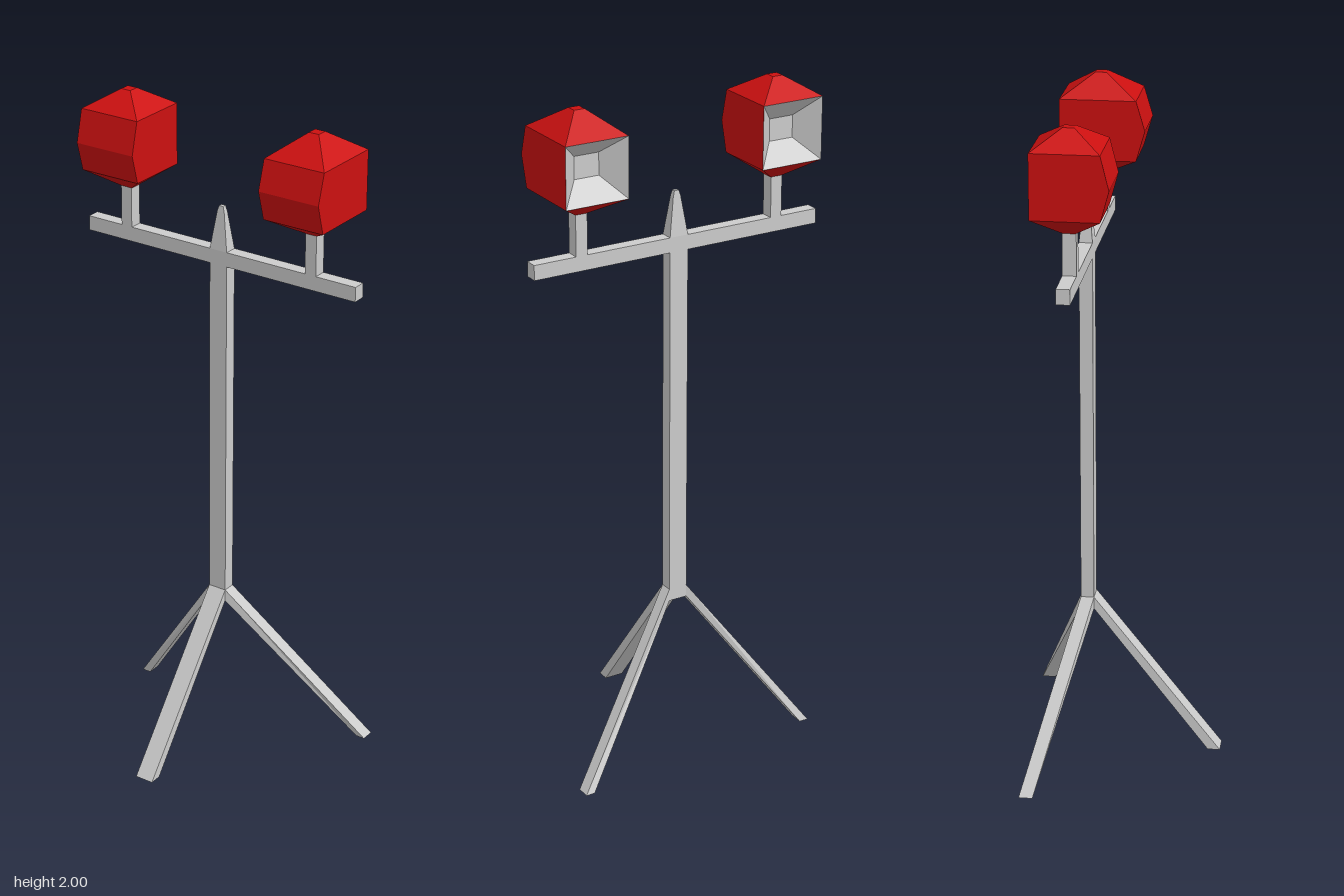
import * as THREE from 'three';

const grey = new THREE.MeshStandardMaterial({ color: 0xcccccc, flatShading: true });
const red = new THREE.MeshStandardMaterial({ color: 0xcc1010, flatShading: true });

// Corner rings, counter-clockwise seen from the + end of their axis
const ringY = (y, x0, x1, z0, z1) => [[x0, y, z0], [x0, y, z1], [x1, y, z1], [x1, y, z0]];
const ringX = (x, y0, y1, z0, z1) => [[x, y0, z0], [x, y1, z0], [x, y1, z1], [x, y0, z1]];

// Flat-sided skin through four-cornered rings, with optional end caps
function loft(name, rings, material = grey, startCap = true, endCap = true) {
  const p = [];
  const quad = (a, b, c, d) => p.push(...a, ...b, ...c, ...a, ...c, ...d);
  for (let r = 0; r + 1 < rings.length; r++) {
    for (let i = 0; i < 4; i++) {
      const j = (i + 1) % 4;
      quad(rings[r][i], rings[r][j], rings[r + 1][j], rings[r + 1][i]);
    }
  }
  if (startCap) quad(...[...rings[0]].reverse());
  if (endCap) quad(...rings[rings.length - 1]);
  const geometry = new THREE.BufferGeometry();
  geometry.setAttribute('position', new THREE.Float32BufferAttribute(p, 3));
  geometry.computeVertexNormals();
  const mesh = new THREE.Mesh(geometry, material);
  mesh.name = name;
  return mesh;
}

const PX0 = 0.077, PX1 = 0.116, PZ = 0.029; // pole footprint
const MID = (PX0 + PX1) / 2;

// Lamp head: red hood with peaked top and bottom, ridged back, funnel opening on +x
function lampHead(name, { x0, x1, ridge, y0, y1, z0, z1, top }) {
  const g = new THREE.Group();
  g.name = name;
  const zc = (z0 + z1) / 2, yc = 1.85, s = 0.016;
  g.add(
    loft('hood', [
      ringX(ridge, yc, yc, z0, z1),
      ringX(x0, y0, y1, z0, z1),
      ringX(x1, y0, y1, z0, z1),
    ], red, false, false),
    loft('hoodRoof', [
      ringY(y1, x0, x1, z0, z1),
      ringY(top, MID - s, MID + s, zc - s, zc + s),
    ], red, false),
    loft('hoodBase', [
      ringY(1.705, MID - s, MID + s, zc - s, zc + s),
      ringY(y0, x0, x1, z0, z1),
    ], red, true, false),
    loft('lampRecess', [
      ringX(x1, y0, y1, z0, z1),
      ringX(x1 - 0.06, 1.82, 1.885, zc - 0.038, zc + 0.038),
    ], grey, false),
    loft('lampPost', [
      ringY(1.58, PX0, PX1, zc - 0.018, zc + 0.018),
      ringY(1.715, PX0, PX1, zc - 0.018, zc + 0.018),
    ]),
  );
  return g;
}

export function createModel() {
  const model = new THREE.Group();
  model.name = 'twinLampStand';

  // Pole, tapered tip and crossbar
  model.add(
    loft('pole', [ringY(0.455, PX0, PX1, -PZ, PZ), ringY(1.587, PX0, PX1, -PZ, PZ)]),
    loft('poleTip', [
      ringY(1.587, PX0, PX1, -PZ, PZ),
      ringY(1.7, MID - 0.008, MID + 0.008, -0.012, 0.012),
      ringY(1.717, MID - 0.006, MID + 0.006, -0.007, 0.007),
    ], grey, false),
    loft('crossbar', [ringY(1.543, PX0, PX1, -0.457, 0.457), ringY(1.587, PX0, PX1, -0.457, 0.457)]),
  );

  // Tripod legs: level foot sheared up to an upright face of the pole
  const hi = 0.492, lo = 0.455;
  model.add(
    loft('rightLeg', [
      ringY(0.01, -0.304, -0.267, -PZ, PZ),
      [[PX0, hi, -PZ], [PX0, hi, PZ], [PX0, lo, PZ], [PX0, lo, -PZ]],
    ]),
    loft('frontLeg', [
      ringY(0.01, 0.262, 0.303, 0.393, 0.42),
      [[PX0, lo, PZ], [PX0, hi, PZ], [PX1, hi, PZ], [PX1, lo, PZ]],
    ]),
    loft('backLeg', [
      ringY(0, 0.211, 0.252, -0.381, -0.353),
      [[PX0, hi, -PZ], [PX0, lo, -PZ], [PX1, lo, -PZ], [PX1, hi, -PZ]],
    ]),
  );

  // The two heads differ slightly in size
  model.add(
    lampHead('frontLamp', { x0: -0.015, x1: 0.207, ridge: -0.041, y0: 1.76, y1: 1.937, z0: 0.213, z1: 0.406, top: 2 }),
    lampHead('backLamp', { x0: 0.001, x1: 0.193, ridge: -0.023, y0: 1.762, y1: 1.946, z0: -0.418, z1: -0.224, top: 1.998 }),
  );
  return model;
}
